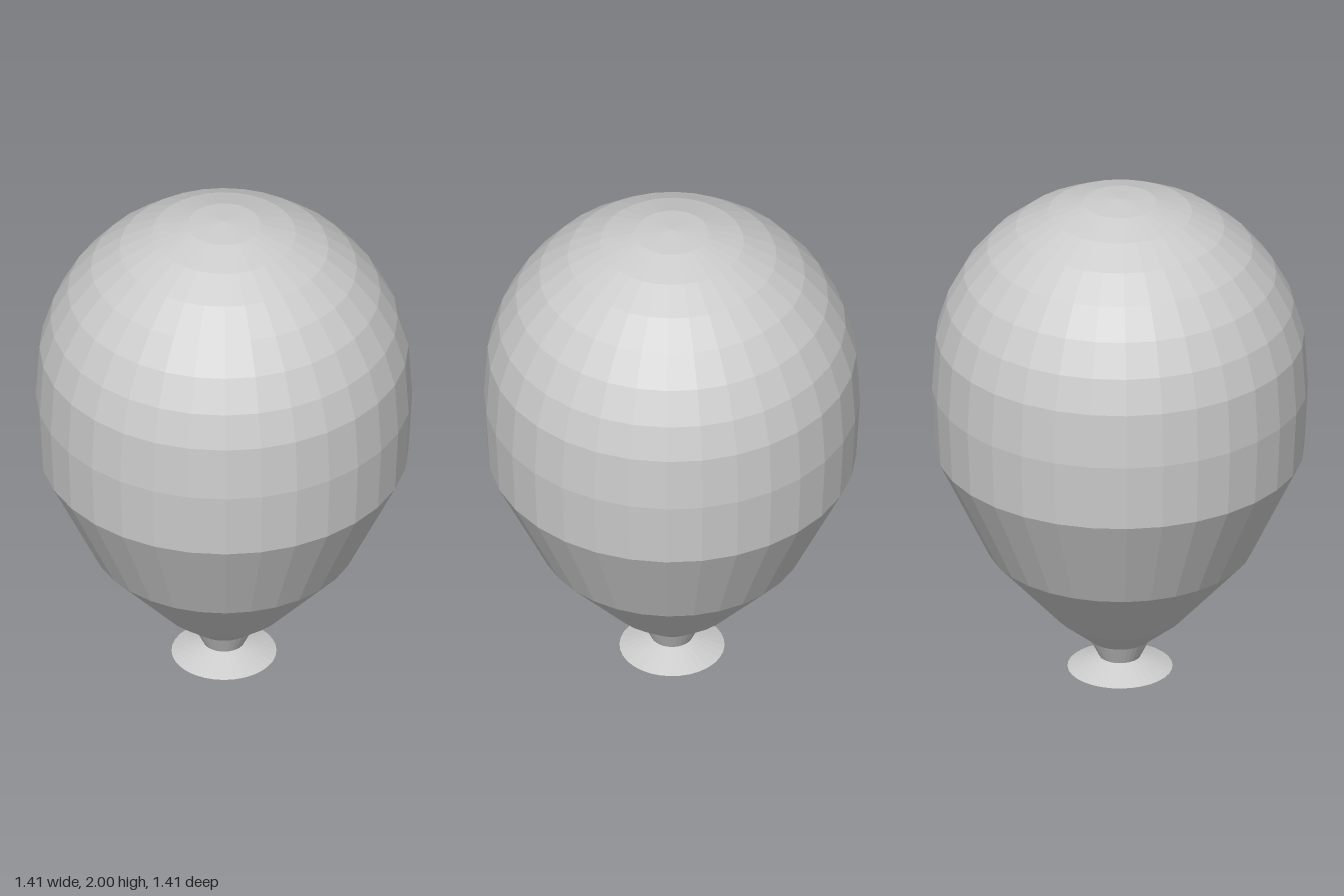
import * as THREE from 'three';

const SIDES = 32;

function lathePart(name, profile, material) {
  const points = profile.map(([r, y]) => new THREE.Vector2(r, y));
  // start at a quarter turn so that corners fall on the axes
  const mesh = new THREE.Mesh(new THREE.LatheGeometry(points, SIDES), material);
  mesh.name = name;
  return mesh;
}

export function createModel() {
  const group = new THREE.Group();
  group.name = 'balloon';
  const material = new THREE.MeshStandardMaterial({
    color: 0xcccccc, flatShading: true, side: THREE.DoubleSide,
  });

  // Envelope: tapered lower body below a spherical dome
  const R = 0.705;
  const envelope = [[0.115, 0.17], [0.243, 0.275], [0.5, 0.56], [0.691, 0.96], [R, 1.22]];
  for (let i = 7; i >= 0; i--) {
    const a = (i * Math.PI) / 16;
    envelope.push([R * Math.sin(a), 2 - R * (1 - Math.cos(a))]);
  }
  group.add(lathePart('envelope', envelope, material));

  // Pinched neck
  group.add(lathePart('neck', [[0.078, 0.095], [0.115, 0.17]], material));

  // Flared lip with a shallow rounded underside
  group.add(lathePart('lip', [[0, 0.005], [0.105, 0.017], [0.197, 0.048], [0.078, 0.095]], material));

  return group;
}
